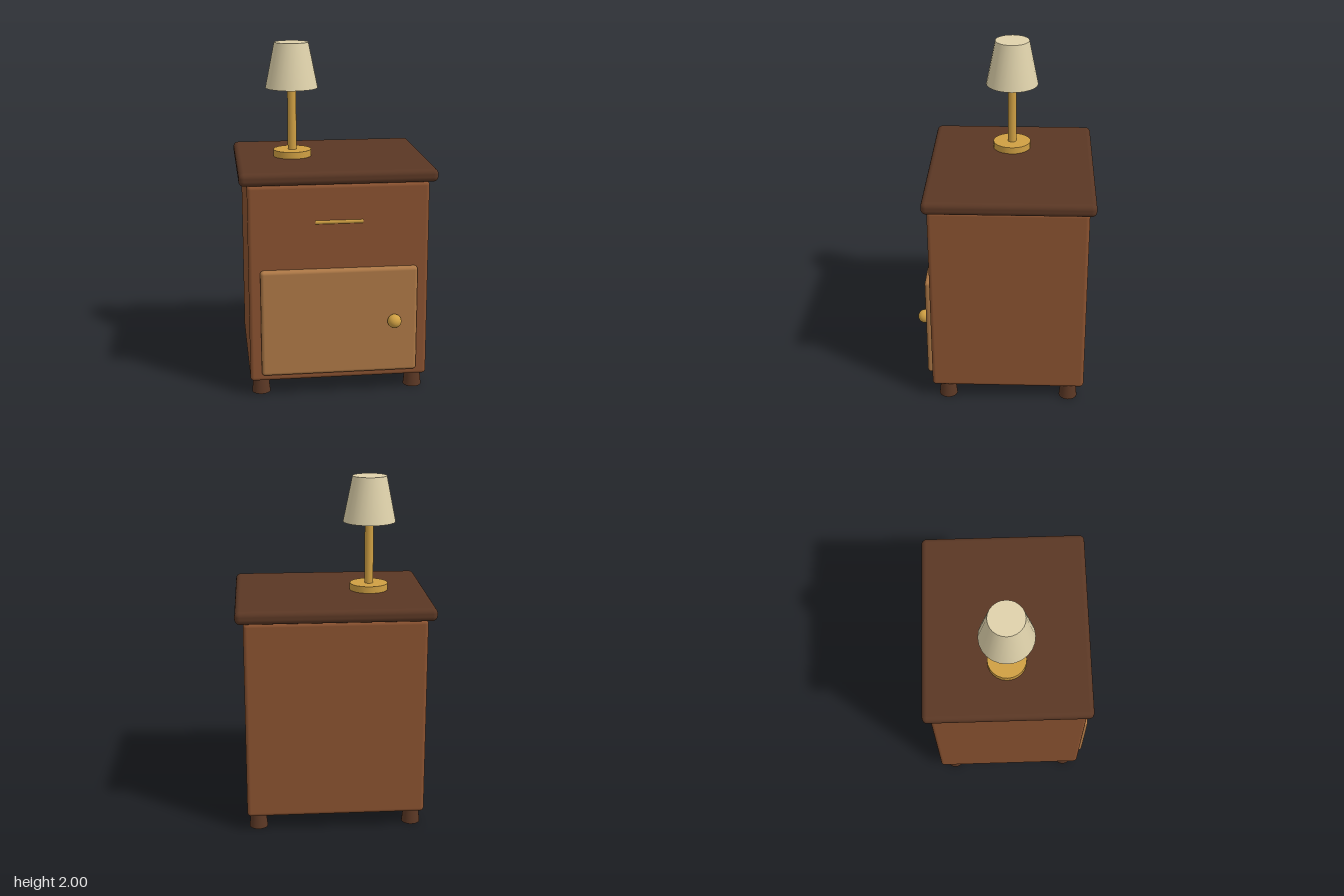
import * as THREE from 'three';
import { RoundedBoxGeometry } from 'three/addons/geometries/RoundedBoxGeometry.js';

function material(name, color) {
  const m = new THREE.MeshStandardMaterial({ color });
  m.name = name;
  return m;
}

export function createModel() {
  const model = new THREE.Group();
  model.name = 'nightstandWithLamp';
  const wood = material('red brown wood', 0x8a5230);
  const darkWood = material('dark wood', 0x5a3724);
  const lightWood = material('light wood', 0xad7846);
  const brass = material('brass', 0xd0a043);
  const fabric = material('cream fabric', 0xdfd2ab);

  const add = (name, geometry, mat, x, y, z, parent = model) => {
    const mesh = new THREE.Mesh(geometry, mat);
    mesh.name = name;
    mesh.position.set(x, y, z);
    parent.add(mesh);
    return mesh;
  };

  // Cabinet
  add('cabinetBody', new RoundedBoxGeometry(1.03, 1.162, 0.9, 4, 0.022), wood, 0, 0.676, -0.03);
  add('cabinetTop', new RoundedBoxGeometry(1.12, 0.075, 0.962, 4, 0.03), darkWood, 0, 1.295, -0.034);
  add('door', new RoundedBoxGeometry(0.9, 0.63, 0.06, 4, 0.02), lightWood, 0, 0.453, 0.423);
  add('doorKnob', new THREE.SphereGeometry(0.04, 24, 16), brass, 0.313, 0.453, 0.473);
  add('drawerHandle', new THREE.CylinderGeometry(0.0135, 0.0135, 0.27, 16), brass, 0, 1.04, 0.412)
    .rotation.z = Math.PI / 2;

  // Tapered feet, wider at the floor
  const footGeometry = new THREE.CylinderGeometry(0.042, 0.054, 0.11, 24);
  for (const x of [-0.45, 0.45])
    for (const z of [-0.39, 0.33]) add('foot', footGeometry, darkWood, x, 0.055, z);

  // Table lamp
  const lamp = new THREE.Group();
  lamp.name = 'lamp';
  lamp.position.set(-0.225, 0, -0.032);
  model.add(lamp);
  add('lampBase', new THREE.CylinderGeometry(0.112, 0.112, 0.042, 24), brass, 0, 1.351, 0, lamp);
  add('lampPole', new THREE.CylinderGeometry(0.026, 0.026, 0.42, 16), brass, 0, 1.57, 0, lamp);
  add('lampShade', new THREE.CylinderGeometry(0.1, 0.154, 0.264, 24), fabric, 0, 1.868, 0, lamp);
  return model;
}
